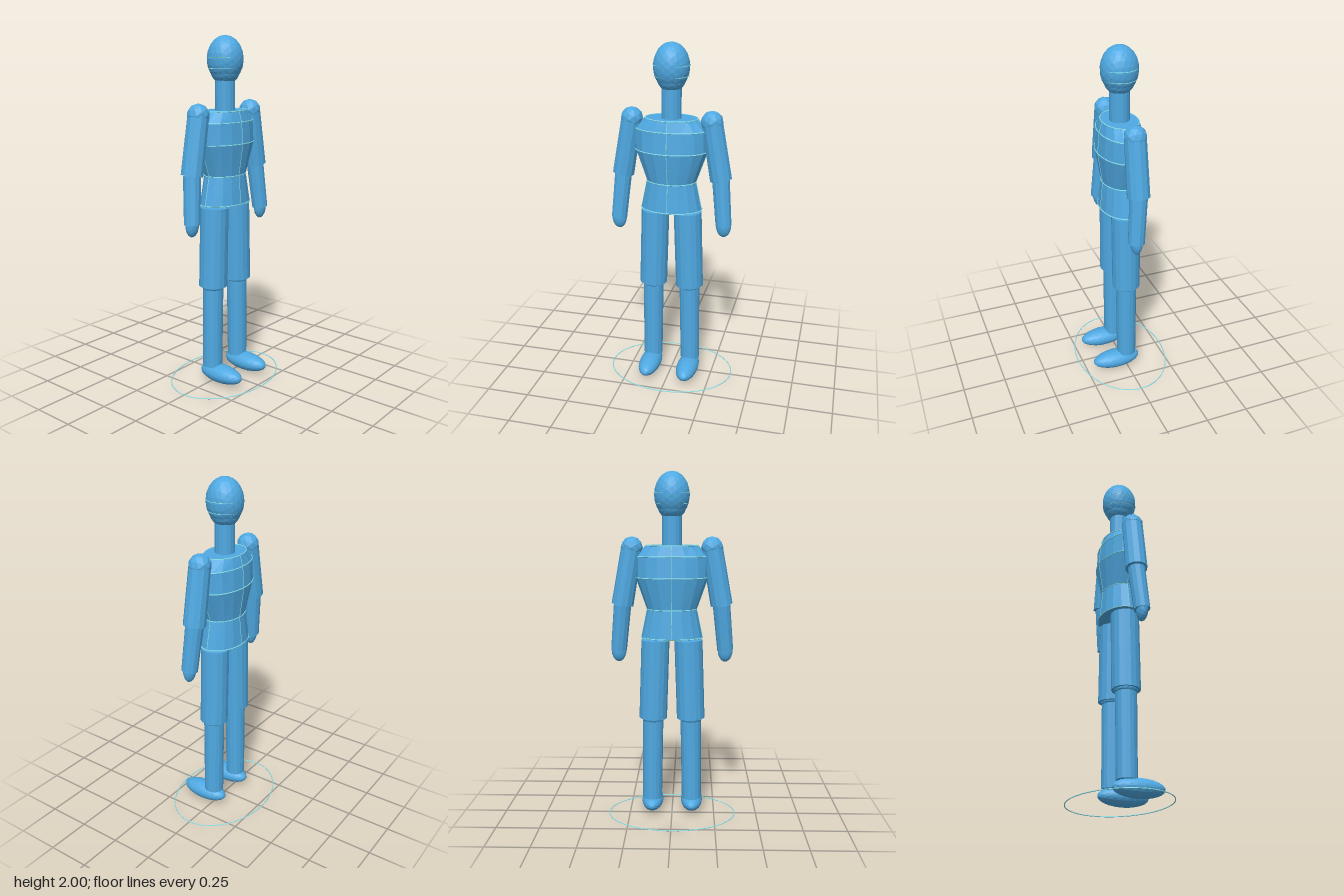
import * as THREE from 'three';

function material(name, color) {
  const m = new THREE.MeshStandardMaterial({ color, flatShading: true });
  m.name = name;
  return m;
}
const blue = material('mannequin blue', 0x4fa9e2);
const pale = material('pale cyan seam', 0x8ee6f0);

const V = (x, y, z) => new THREE.Vector3(x, y, z);

function add(parent, name, geometry, mat = blue) {
  const mesh = new THREE.Mesh(geometry, mat);
  mesh.name = name;
  parent.add(mesh);
  return mesh;
}

// Faceted ellipsoid with given centre and half sizes
function ellipsoid(parent, name, centre, size, detail) {
  const mesh = add(parent, name, new THREE.IcosahedronGeometry(1, detail).scale(...size));
  mesh.position.copy(centre);
}

// Tapered limb running from point a (radius ra) to point b (radius rb)
function limb(parent, name, a, b, ra, rb, sides = 12, mat = blue) {
  const mesh = add(parent, name, new THREE.CylinderGeometry(ra, rb, a.distanceTo(b), sides), mat);
  mesh.position.copy(a).add(b).multiplyScalar(0.5);
  mesh.quaternion.setFromUnitVectors(V(0, 1, 0), a.clone().sub(b).normalize());
}

// Thin oval wire lying flat at height y
function ovalWire(parent, name, [y, w, d], radius) {
  const points = [];
  for (let i = 0; i < 48; i++) {
    const t = (i / 48) * Math.PI * 2;
    points.push(V(Math.sin(t) * w, y, Math.cos(t) * d));
  }
  const path = new THREE.CatmullRomCurve3(points, true);
  add(parent, name, new THREE.TubeGeometry(path, 64, radius, 6, true), pale);
}

// Elliptical cross-sections [y, half width, half depth], capped at both ends
function loft(sections, sides) {
  const pos = [], index = [];
  for (const [y, w, d] of sections) {
    for (let i = 0; i < sides; i++) {
      const t = (i / sides) * Math.PI * 2;
      pos.push(Math.sin(t) * w, y, Math.cos(t) * d);
    }
  }
  const last = sections.length - 1;
  pos.push(0, sections[0][0], 0, 0, sections[last][0], 0);
  const bottom = sections.length * sides, top = bottom + 1;
  for (let i = 0; i < sides; i++) {
    const j = (i + 1) % sides;
    for (let s = 0; s < last; s++) {
      const a = s * sides + i, b = s * sides + j;
      index.push(a, b, b + sides, a, b + sides, a + sides);
    }
    index.push(bottom, j, i, top, last * sides + i, last * sides + j);
  }
  const g = new THREE.BufferGeometry();
  g.setAttribute('position', new THREE.Float32BufferAttribute(pos, 3));
  g.setIndex(index);
  g.computeVertexNormals();
  return g;
}

export function createModel() {
  const model = new THREE.Group();
  model.name = 'mannequin';

  // Torso, waist to shoulders
  const sections = [
    [1.067, 0.176, 0.116],
    [1.23, 0.142, 0.1],
    [1.41, 0.206, 0.127],
    [1.53, 0.206, 0.117],
    [1.59, 0.147, 0.1],
  ];
  add(model, 'torso', loft(sections, 16));

  // Seams around the torso, and down its front, back and sides
  const seams = new THREE.Group();
  seams.name = 'torsoSeams';
  model.add(seams);
  sections.forEach((section, i) => {
    ovalWire(seams, 'crossSeam', section, 0.003);
    if (i === 0) return;
    const [y0, w0, d0] = sections[i - 1];
    const [y1, w1, d1] = section;
    for (const [sx, sz] of [[0, 1], [0, -1], [1, 0], [-1, 0]]) {
      limb(seams, 'lengthSeam', V(sx * w1, y1, sz * d1), V(sx * w0, y0, sz * d0), 0.002, 0.002, 6, pale);
    }
  });

  // Neck, head and jaw
  limb(model, 'neck', V(0, 1.78, 0), V(0, 1.58, 0), 0.056, 0.056, 16);
  ellipsoid(model, 'head', V(0, 1.87, 0), [0.1, 0.13, 0.104], 3);
  ellipsoid(model, 'jaw', V(0, 1.815, 0), [0.082, 0.083, 0.086], 3);

  // Head guide lines, emerging only at the sides
  ovalWire(model, 'upperHeadLine', [1.88, 0.101, 0.099], 0.002);
  ovalWire(model, 'lowerHeadLine', [1.82, 0.094, 0.092], 0.002);

  for (const side of [-1, 1]) {
    const word = side > 0 ? 'left' : 'right';

    // Arm
    const arm = new THREE.Group();
    arm.name = word + 'Arm';
    model.add(arm);
    const shoulder = V(side * 0.227, 1.578, 0);
    const elbow = V(side * 0.283, 1.255, 0);
    const wrist = V(side * 0.308, 0.99, 0.02);
    ellipsoid(arm, word + 'Shoulder', shoulder, [0.063, 0.063, 0.063], 1);
    limb(arm, word + 'UpperArm', shoulder, elbow, 0.06, 0.063);
    limb(arm, word + 'Forearm', elbow, wrist, 0.05, 0.046);
    ellipsoid(arm, word + 'Hand', wrist, [0.044, 0.07, 0.032], 2);

    // Leg
    const leg = new THREE.Group();
    leg.name = word + 'Leg';
    model.add(leg);
    const hip = V(side * 0.095, 1.05, 0);
    const knee = V(side * 0.11, 0.59, 0);
    const ankle = V(side * 0.116, 0.1, 0);
    limb(leg, word + 'Thigh', hip, knee, 0.081, 0.081, 16);
    ellipsoid(leg, word + 'Knee', knee, [0.067, 0.035, 0.067], 2);
    limb(leg, word + 'Shin', knee, ankle, 0.06, 0.057, 16);
    ellipsoid(leg, word + 'Foot', V(side * 0.117, 0.062, 0.066), [0.064, 0.053, 0.147], 3);
  }

  // Thin oval ring on the ground
  ovalWire(model, 'groundRing', [0.003, 0.373, 0.275], 0.003);

  return model;
}
